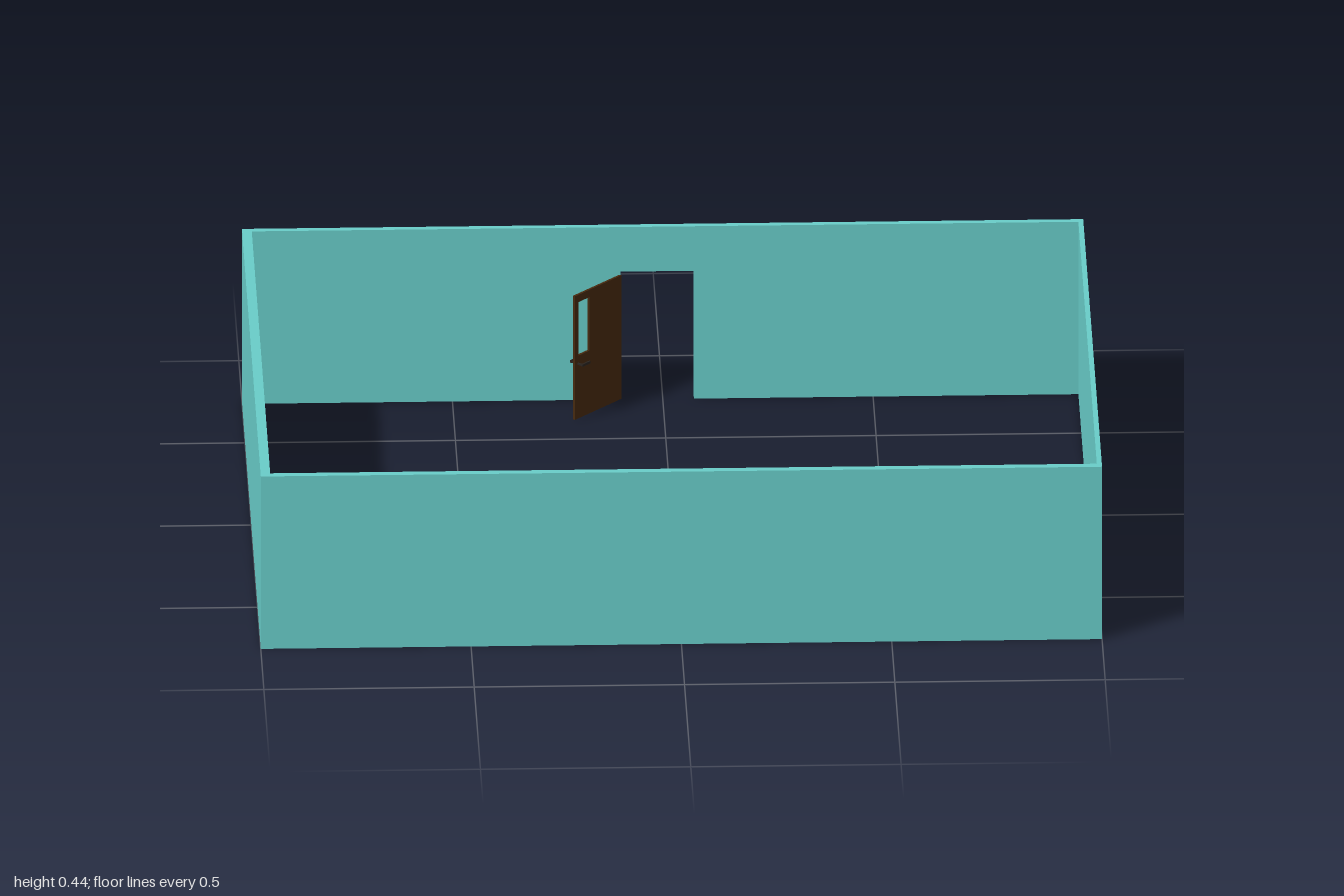
import * as THREE from 'three';

const H = 0.445, X = 1, Z = 0.753;
const wallMat = new THREE.MeshStandardMaterial({ color: 0x68ccc8 });
const doorMat = new THREE.MeshStandardMaterial({ color: 0x46290f });
const metalMat = new THREE.MeshStandardMaterial({ color: 0x2a2420 });

// box given by its minimum and maximum corners
function box(name, min, max, mat) {
  const size = max.map((v, i) => v - min[i]);
  const mesh = new THREE.Mesh(new THREE.BoxGeometry(...size), mat);
  mesh.position.set(...max.map((v, i) => (v + min[i]) / 2));
  mesh.name = name;
  return mesh;
}

// flat panel in the xy plane, extruded along z
function panel(name, outline, holes, depth, mat) {
  const shape = new THREE.Shape(outline.map(p => new THREE.Vector2(...p)));
  for (const h of holes) shape.holes.push(new THREE.Path(h.map(p => new THREE.Vector2(...p))));
  const mesh = new THREE.Mesh(new THREE.ExtrudeGeometry(shape, { depth, bevelEnabled: false }), mat);
  mesh.name = name;
  return mesh;
}

export function createModel() {
  const model = new THREE.Group();
  model.name = 'walledRoom';
  const tRight = 0.012, tLeft = 0.023, tBack = 0.016, tFront = 0.019;

  // side and front walls
  model.add(
    box('wallPlusX', [X - tRight, 0, -Z + tBack], [X, H, Z - tFront], wallMat),
    box('wallMinusX', [-X, 0, -Z + tBack], [-X + tLeft, H, Z - tFront], wallMat),
    box('frontWall', [-X, 0, Z - tFront], [X, H, Z], wallMat)
  );

  // back wall with the doorway cut up from the floor
  const x0 = -0.1, x1 = 0.074, doorTop = 0.33;
  const back = panel('backWall', [[-X, 0], [x0, 0], [x0, doorTop], [x1, doorTop], [x1, 0],
    [X, 0], [X, H], [-X, H]], [], tBack, wallMat);
  back.position.z = -Z;
  model.add(back);

  // open door leaf with a tall window beside its free edge
  const door = new THREE.Group();
  door.name = 'door';
  const w = 0.17, t = 0.006, dh = 0.322;
  const leaf = panel('doorLeaf', [[0, 0.003], [w, 0.003], [w, dh], [0, dh]],
    [[[0.118, 0.165], [0.118, 0.303], [0.157, 0.303], [0.157, 0.165]]], t, doorMat);
  leaf.position.z = -t / 2;
  door.add(leaf);

  // lever handle on both faces
  const hx = 0.16, hy = 0.145, reach = 0.018;
  door.add(box('handleSpindle', [hx - 0.002, hy - 0.002, -reach], [hx + 0.002, hy + 0.002, reach], metalMat));
  for (const s of [-1, 1]) {
    const lever = box('handleLever', [hx - 0.027, hy - 0.003, -0.002], [hx + 0.002, hy + 0.003, 0.002], metalMat);
    lever.position.z = s * reach;
    door.add(lever);
  }
  door.position.set(x0, 0, -Z + tBack);
  door.rotation.y = -2.31;
  model.add(door);

  return model;
}
